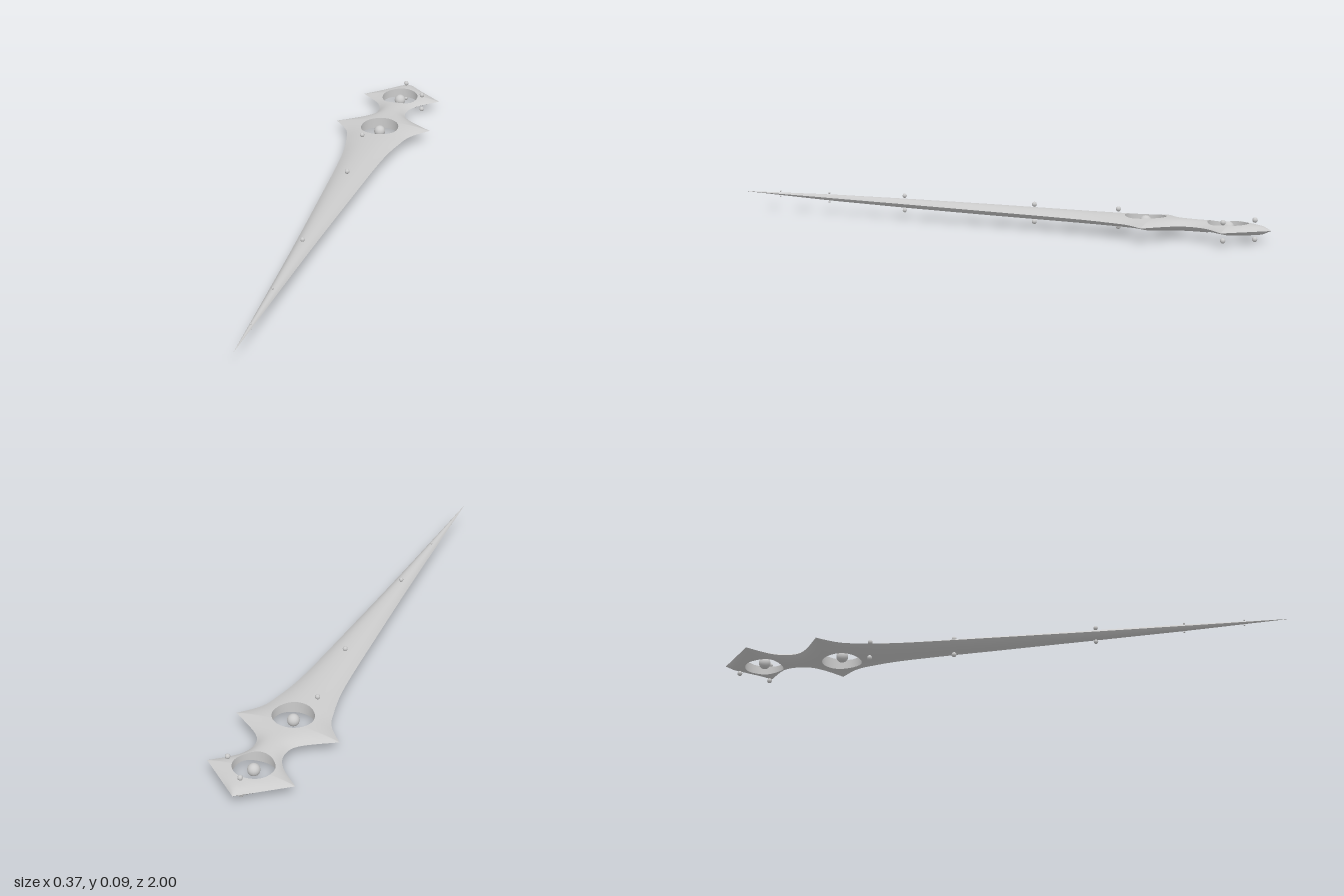
import * as THREE from 'three';
import { mergeVertices } from 'three/addons/utils/BufferGeometryUtils.js';

const holes = [{ z: -0.855, r: 0.068 }, { z: -0.57, r: 0.07 }];

// Half-width outline as [z, w]: pointed pommel, concave waist, long tapering blade
const pieces = [
  [[-1, 0], [-0.94, 0.073], [-0.875, 0.152]],
  [[-0.875, 0.152], [-0.81, 0.08], [-0.75, 0.054], [-0.69, 0.076], [-0.615, 0.183]],
  [[-0.615, 0.183], [-0.55, 0.127], [-0.477, 0.102], [-0.33, 0.076], [0, 0.053], [0.345, 0.032], [0.64, 0.017], [1, 0]],
];
const outline = pieces.flatMap((p) =>
  new THREE.SplineCurve(p.map(([z, w]) => new THREE.Vector2(z, w))).getPoints(p.length * 4).map((v) => [v.x, v.y]));
const thickness = [[-1, 0], [-0.97, 0.014], [-0.93, 0.018], [-0.6, 0.021], [0, 0.019], [0.33, 0.016], [0.64, 0.011], [1, 0]];

function lookup(table, z) {
  for (let i = 1; i < table.length; i++) {
    const [z0, a] = table[i - 1], [z1, b] = table[i];
    if (z <= z1 && z1 > z0) return a + (b - a) * (z - z0) / (z1 - z0);
  }
  return 0;
}

// Slightly tilted middle plane, lens-shaped half thickness, and hole half width
const midY = (x, z) => 0.052 + 0.01 * z + 0.033 * x;
const halfWidth = (z) => Math.max(0, lookup(outline, z));
function halfThick(x, z) {
  const w = halfWidth(z);
  const t = w > 1e-6 ? Math.min(1, Math.abs(x) / w) : 1;
  return lookup(thickness, z) * (1 - t ** 2.3);
}
function holeWidth(z) {
  for (const h of holes) {
    const d = h.r * h.r - (z - h.z) ** 2;
    if (d > 1e-9) return Math.sqrt(d);
  }
  return 0;
}

// Grid patches joined into one smooth surface
function surface(patches) {
  const pos = [], index = [];
  for (const { zs, cols, point, flip } of patches) {
    const base = pos.length / 3;
    zs.forEach((z, i) => {
      for (let j = 0; j <= cols; j++) {
        pos.push(...point(z, j / cols));
        if (i === 0 || j === 0) continue;
        const d = base + i * (cols + 1) + j, c = d - cols - 1, b = d - 1, a = c - 1;
        if (flip) index.push(a, c, b, b, c, d);
        else index.push(a, b, c, b, d, c);
      }
    });
  }
  let geo = new THREE.BufferGeometry();
  geo.setAttribute('position', new THREE.Float32BufferAttribute(pos, 3));
  geo.setIndex(index);
  geo = mergeVertices(geo, 1e-5);
  geo.computeVertexNormals();
  return geo;
}

export function createModel() {
  const group = new THREE.Group();
  const grey = new THREE.MeshStandardMaterial({ color: 0xcccccc });
  const add = (name, geo, x = 0, y = 0, z = 0) => {
    const mesh = new THREE.Mesh(geo, grey);
    mesh.name = name;
    mesh.position.set(x, y, z);
    group.add(mesh);
  };

  // Cross-section stations, denser around the round holes
  const ringZ = (h) => Array.from({ length: 25 }, (_, k) => h.z - h.r * Math.cos(k * Math.PI / 24));
  const stations = [...outline.map((p) => p[0]), ...holes.flatMap(ringZ)]
    .sort((a, b) => a - b)
    .filter((z, i, all) => i === 0 || z - all[i - 1] > 1e-5);

  // Upper and lower blade faces
  for (const up of [1, -1]) {
    add(up > 0 ? 'bladeTop' : 'bladeBottom', surface([1, -1].map((side) => ({
      zs: stations, cols: 8, flip: side * up < 0,
      point: (z, s) => {
        const x = side * THREE.MathUtils.lerp(holeWidth(z), halfWidth(z), s);
        return [x, midY(x, z) + up * halfThick(x, z), z];
      },
    }))));
  }

  // Hole walls with a ball floating in each
  for (const h of holes) {
    add('holeWall', surface([1, -1].map((side) => ({
      zs: ringZ(h), cols: 1, flip: side < 0,
      point: (z, s) => {
        const x = side * holeWidth(z);
        return [x, midY(x, z) + (2 * s - 1) * halfThick(x, z), z];
      },
    }))));
    add('holeBall', new THREE.SphereGeometry(0.021, 16, 12), 0, midY(0, h.z), h.z);
  }

  // Small beads hovering in pairs above and below the blade: x, z, offset, radius
  const beads = [
    [0, -0.945, 0.032, 0.009], [0.086, -0.862, 0.03, 0.009], [-0.036, -0.46, 0.03, 0.009],
    [-0.003, -0.165, 0.03, 0.009], [-0.003, 0.335, 0.026, 0.008], [0, 0.64, 0.016, 0.004], [0, 0.845, 0.009, 0.003],
  ];
  for (const [x, z, gap, r] of beads) {
    for (const up of [1, -1]) add('bead', new THREE.SphereGeometry(r, 8, 6), x, midY(0, z) + up * gap, z);
  }
  return group;
}
